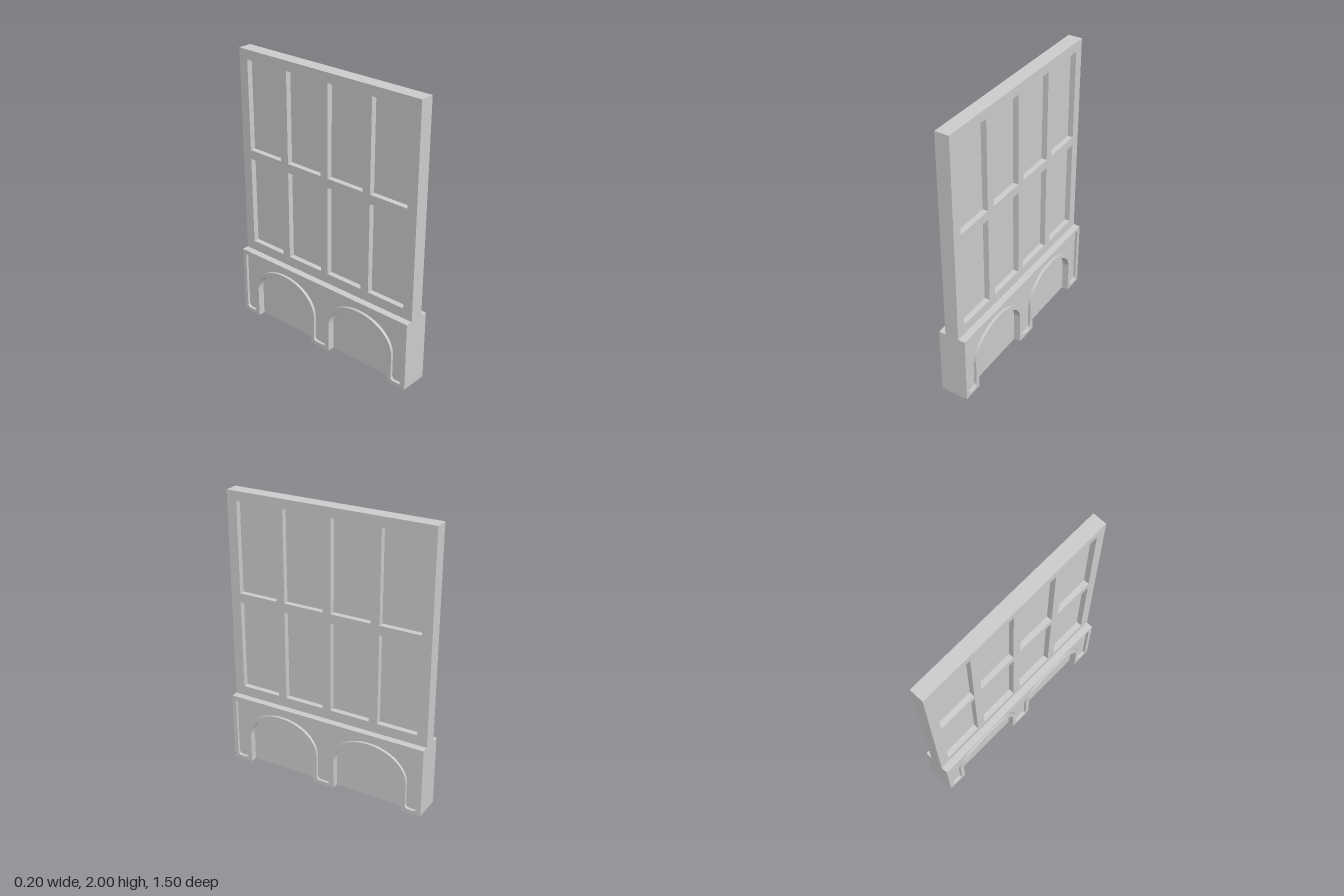
import * as THREE from 'three';
import { toCreasedNormals } from 'three/addons/utils/BufferGeometryUtils.js';

const material = new THREE.MeshStandardMaterial({ color: 0xcccccc });
const WIDTH = 1.5, HEIGHT = 2, BASE_TOP = 0.505;
const HALF_WALL = 0.05, PANEL_FACE = 0.08, HALF_BASE = 0.1;
const ARCH_CENTRES = [-0.343, 0.343], SPRING = 0.215;

// Extrude a side-elevation shape outward from x = from to x = to, on side +1 or -1
function slab(name, shape, from, to, side = 1) {
  let geometry = new THREE.ExtrudeGeometry(shape, {
    depth: to - from, bevelEnabled: false, curveSegments: 24,
  });
  geometry.translate(0, 0, from);
  geometry.rotateY(side * Math.PI / 2);
  geometry = toCreasedNormals(geometry, 0.5);
  const mesh = new THREE.Mesh(geometry, material);
  mesh.name = name;
  return mesh;
}

function rectangle(path, u0, y0, u1, y1) {
  path.moveTo(u0, y0).lineTo(u1, y0).lineTo(u1, y1).lineTo(u0, y1).lineTo(u0, y0);
  return path;
}

// Wall with two rows of four window openings
function wallShape() {
  const shape = rectangle(new THREE.Shape(), -WIDTH / 2, 0, WIDTH / 2, HEIGHT);
  for (const [y0, y1] of [[0.577, 1.222], [1.287, 1.932]]) {
    for (let i = 0; i < 4; i++) {
      const u = (i - 1.5) * 0.3545;
      shape.holes.push(rectangle(new THREE.Path(), u - 0.146, y0, u + 0.146, y1));
    }
  }
  return shape;
}

// Base facing with two arched niches open at the floor
function arcadeShape() {
  const half = 0.259, rise = 0.191;
  const shape = new THREE.Shape();
  shape.moveTo(-WIDTH / 2, 0);
  for (const c of ARCH_CENTRES) {
    shape.lineTo(c - half, 0).lineTo(c - half, SPRING);
    shape.absellipse(c, SPRING, half, rise, Math.PI, 0, true);
    shape.lineTo(c + half, 0);
  }
  shape.lineTo(WIDTH / 2, 0).lineTo(WIDTH / 2, BASE_TOP).lineTo(-WIDTH / 2, BASE_TOP);
  shape.closePath();
  return shape;
}

// Sunk field around the arches, running down the piers to rounded feet
function sunkField() {
  const half = 0.29, rise = 0.218, edge = 0.72, bottom = 0.025, top = 0.482, r = 0.026;
  const path = new THREE.Path();
  const foot = (a, b) => {
    path.lineTo(a, bottom + r).quadraticCurveTo(a, bottom, a + r, bottom);
    path.lineTo(b - r, bottom).quadraticCurveTo(b, bottom, b, bottom + r);
    path.lineTo(b, SPRING);
  };
  const [left, right] = ARCH_CENTRES;
  path.moveTo(-edge, top - r);
  foot(-edge, left - half);
  path.absellipse(left, SPRING, half, rise, Math.PI, 0, true);
  foot(left + half, right - half);
  path.absellipse(right, SPRING, half, rise, Math.PI, 0, true);
  foot(right + half, edge);
  path.lineTo(edge, top - r).quadraticCurveTo(edge, top, edge - r, top);
  path.lineTo(-edge + r, top).quadraticCurveTo(-edge, top, -edge, top - r);
  return path;
}

export function createModel() {
  const model = new THREE.Group();
  model.name = 'panelledWall';

  model.add(slab('wallFrame', wallShape(), -HALF_WALL, HALF_WALL));

  // One thin sheet closes all the openings
  const panes = new THREE.Mesh(new THREE.BoxGeometry(0.02, 1.4, 1.4), material);
  panes.name = 'windowPanes';
  panes.position.y = 1.255;
  model.add(panes);

  // Base facing on both sides: backing layer, then raised border
  for (const side of [1, -1]) {
    const base = new THREE.Group();
    base.name = side > 0 ? 'leftBase' : 'rightBase';
    const border = arcadeShape();
    border.holes.push(sunkField());
    base.add(slab('arcadeBacking', arcadeShape(), HALF_WALL, PANEL_FACE, side));
    base.add(slab('arcadeBorder', border, PANEL_FACE, HALF_BASE, side));
    model.add(base);
  }
  return model;
}
